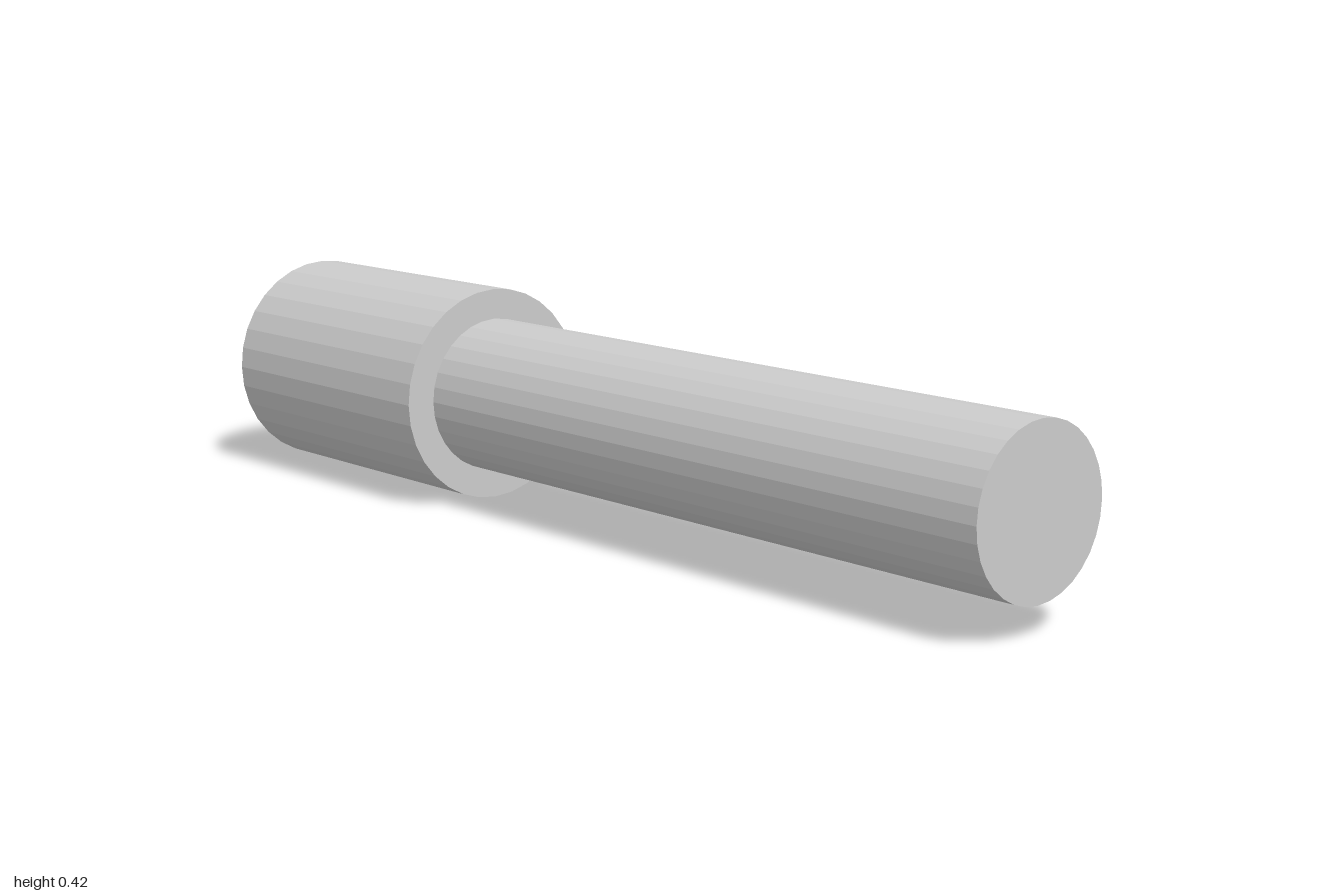
import * as THREE from 'three';

const SIDES = 32;
const AXIS_Y = 0.209;

export function createModel() {
  const model = new THREE.Group();
  const material = new THREE.MeshStandardMaterial({ color: 0xcccccc, flatShading: true });

  // Faceted solid cylinder lying along x between two ends
  function addRod(name, radius, x0, x1) {
    const geometry = new THREE.CylinderGeometry(radius, radius, x1 - x0, SIDES);
    geometry.rotateZ(-Math.PI / 2);
    const mesh = new THREE.Mesh(geometry, material);
    mesh.name = name;
    mesh.position.set((x0 + x1) / 2, AXIS_Y, 0);
    model.add(mesh);
  }

  // Thick head, then the slimmer shaft butted against it
  addRod('head', 0.209, -1, -0.395);
  addRod('shaft', 0.15, -0.395, 1);

  return model;
}
